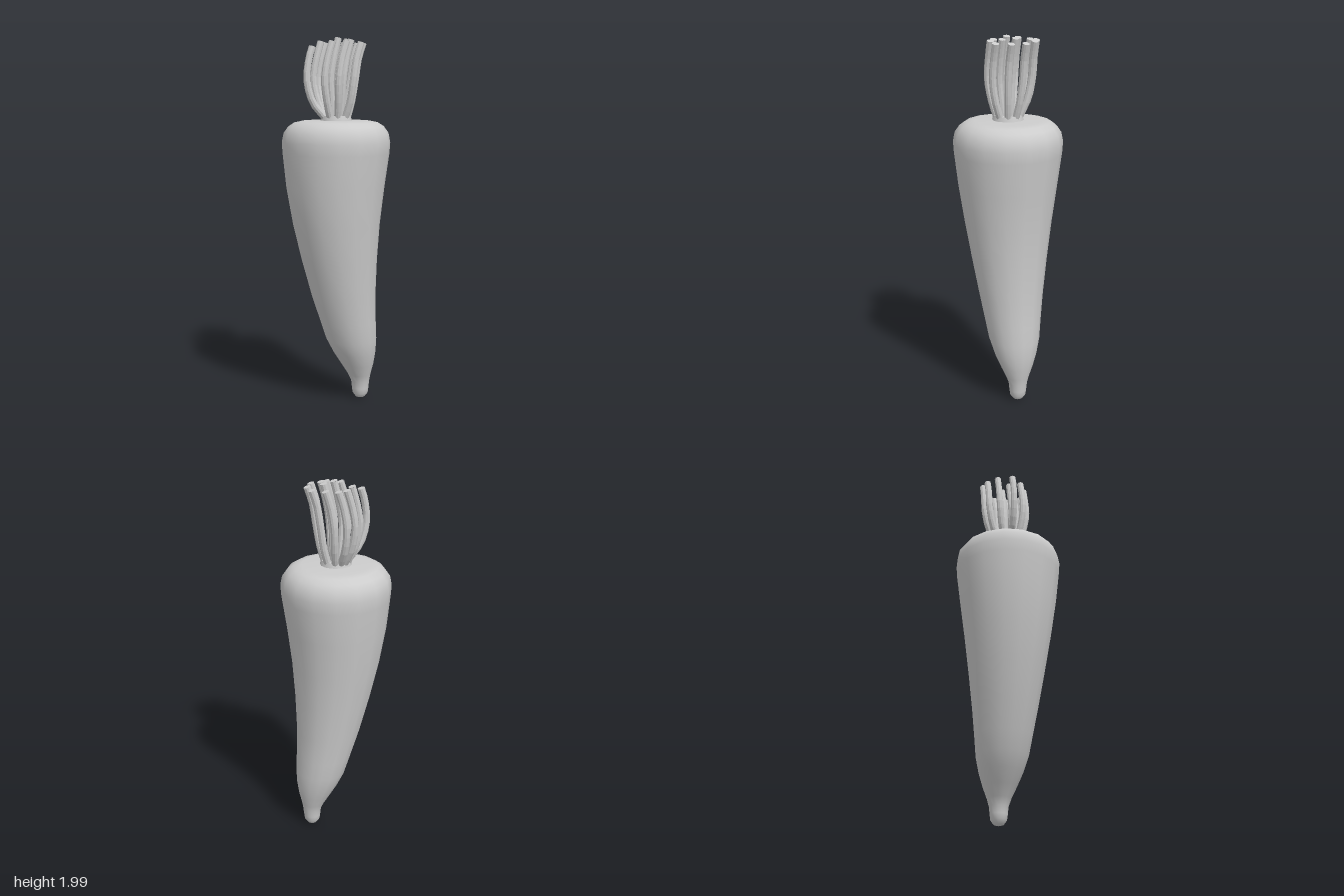
import * as THREE from 'three';
import { mergeVertices, mergeGeometries } from 'three/addons/utils/BufferGeometryUtils.js';

const grey = new THREE.MeshStandardMaterial({ color: 0xcccccc });
grey.name = 'light grey';

// Root cross-sections: height, radius, sideways drift of the centre
const SECTIONS = [
  [0, 0, 0.15], [0.008, 0.027, 0.15], [0.03, 0.043, 0.15], [0.06, 0.047, 0.15], [0.1, 0.051, 0.15],
  [0.14, 0.064, 0.144], [0.2, 0.09, 0.132], [0.27, 0.117, 0.114], [0.35, 0.139, 0.094], [0.45, 0.153, 0.074],
  [0.6, 0.175, 0.046], [0.8, 0.205, 0.02], [1, 0.235, 0.002], [1.2, 0.264, -0.004], [1.38, 0.286, 0],
  [1.44, 0.29, 0], [1.49, 0.28, 0], [1.525, 0.255, 0], [1.546, 0.222, 0], [1.555, 0.18, 0], [1.556, 0, 0],
];

function rootGeometry() {
  const sides = 16;
  const lathe = new THREE.LatheGeometry(SECTIONS.map(([y, r]) => new THREE.Vector2(r, y)), sides);
  const pos = lathe.attributes.position;
  // Bend: shift every ring by its own drift
  for (let i = 0; i < pos.count; i++) {
    pos.setX(i, pos.getX(i) + SECTIONS[i % SECTIONS.length][2]);
  }
  lathe.deleteAttribute('uv');
  lathe.deleteAttribute('normal');
  const merged = mergeVertices(lathe, 1e-5);
  merged.computeVertexNormals();
  return merged;
}

// Faceted stalk with a flat cut end
function stalkGeometry(points, radius) {
  const sides = 10;
  const curve = new THREE.CatmullRomCurve3(points);
  const tube = new THREE.TubeGeometry(curve, 9, radius, sides, false);
  const end = curve.getPointAt(1);
  const cap = new THREE.CircleGeometry(radius, sides);
  cap.applyQuaternion(new THREE.Quaternion().setFromUnitVectors(
    new THREE.Vector3(0, 0, 1), curve.getTangentAt(1)));
  cap.translate(end.x, end.y, end.z);
  const joined = mergeGeometries([tube.toNonIndexed(), cap.toNonIndexed()]);
  joined.computeVertexNormals();
  return joined;
}

// Stalk tips: x, height, z
const TIPS = [
  [-0.13, 1.94, -0.015], [-0.005, 1.965, -0.125], [0.045, 1.965, -0.138], [0.1, 1.965, -0.107],
  [0.145, 1.96, -0.04], [0.14, 1.96, 0.037], [0.072, 1.98, -0.013], [0.06, 1.975, 0.055],
  [0.095, 1.96, 0.103], [0.012, 1.965, 0.1], [-0.05, 1.965, 0.06], [-0.052, 1.97, -0.078], [0.008, 1.985, 0.01],
];

export function createModel() {
  const model = new THREE.Group();
  model.name = 'carrot';

  const root = new THREE.Mesh(rootGeometry(), grey);
  root.name = 'root';
  model.add(root);

  // Low collar the stalks grow from
  const collar = new THREE.Mesh(new THREE.CylinderGeometry(0.077, 0.085, 0.03, 12), grey);
  collar.name = 'collar';
  collar.position.y = 1.565;
  model.add(collar);

  const stalks = new THREE.Group();
  stalks.name = 'stalks';
  for (const [x, y, z] of TIPS) {
    // Each stalk leaves the collar, bows outward, then leans to +x
    const bowX = x - (x < -0.1 ? 0.032 : 0.045);
    const spread = Math.hypot(bowX, z);
    const k = Math.min(0.058 / spread, 0.6);
    const stalk = new THREE.Mesh(stalkGeometry([
      new THREE.Vector3(bowX * k, 1.565, z * k),
      new THREE.Vector3(bowX * 0.8, 1.65, z * 0.8),
      new THREE.Vector3(bowX, 1.77, z),
      new THREE.Vector3(bowX + (x - bowX) * 0.4, 1.88, z),
      new THREE.Vector3(x, y, z),
    ], 0.0185), grey);
    stalk.name = 'stalk';
    stalks.add(stalk);
  }
  model.add(stalks);
  return model;
}
